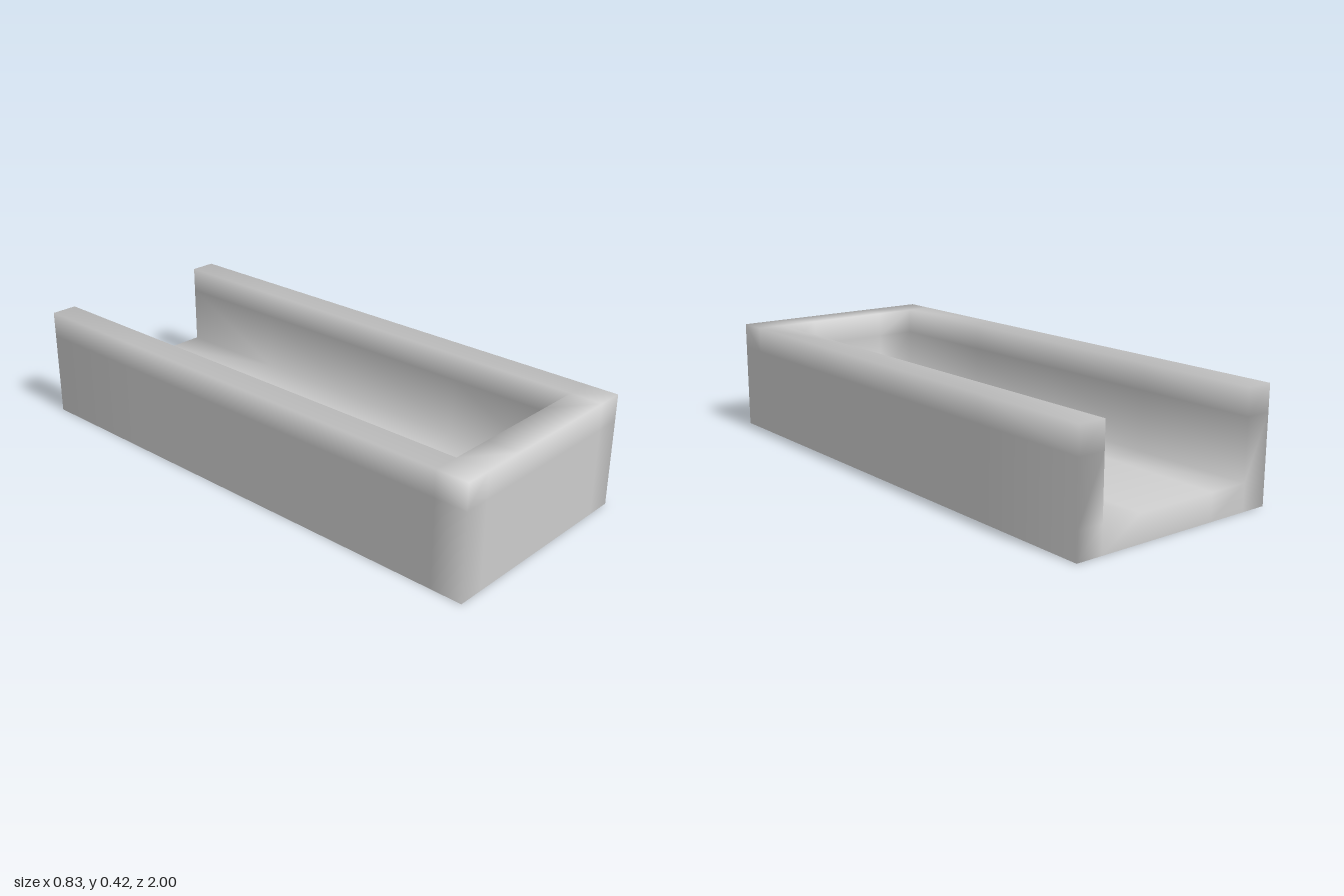
import * as THREE from 'three';
import { mergeVertices } from 'three/addons/utils/BufferGeometryUtils.js';

// Grid lines of the tray along each axis; walls occupy the outermost cells
const lines = [
  [-0.415, -0.315, -0.16, 0.16, 0.315, 0.415],
  [0, 0.1, 0.32, 0.417],
  [-1, -0.54, -0.07, 0.4, 0.88, 1],
];

// Floor, two side walls and a front wall; the back end is open
function isSolid([i, j, k]) {
  if (i < 0 || i > 4 || j < 0 || j > 2 || k < 0 || k > 4) return false;
  return j === 0 || i === 0 || i === 4 || k === 4;
}

// Skin of the solid cells, leaving the underside open
function trayGeometry() {
  const positions = [];
  const addFace = (cell, a, side) => {
    const b = (a + 1) % 3, c = (a + 2) % 3;
    const corners = [[0, 0], [1, 0], [1, 1], [0, 1]].map(([u, v]) => {
      const p = [0, 0, 0];
      p[a] = lines[a][cell[a] + side];
      p[b] = lines[b][cell[b] + u];
      p[c] = lines[c][cell[c] + v];
      return p;
    });
    if (side === 0) corners.reverse();
    for (const n of [0, 1, 2, 0, 2, 3]) positions.push(...corners[n]);
  };
  for (let i = 0; i < 5; i++) for (let j = 0; j < 3; j++) for (let k = 0; k < 5; k++) {
    const cell = [i, j, k];
    if (!isSolid(cell)) continue;
    for (let a = 0; a < 3; a++) for (const side of [0, 1]) {
      const next = [...cell];
      next[a] += side ? 1 : -1;
      const underside = a === 1 && side === 0 && j === 0;
      if (!underside && !isSolid(next)) addFace(cell, a, side);
    }
  }
  // Underside of the tray floor is the back of the floor surface; normals run smoothly over edges
  const geometry = new THREE.BufferGeometry();
  geometry.setAttribute('position', new THREE.Float32BufferAttribute(positions, 3));
  const welded = mergeVertices(geometry);
  welded.computeVertexNormals();
  return welded;
}

export function createModel() {
  const group = new THREE.Group();
  group.name = 'openTray';
  const material = new THREE.MeshStandardMaterial({ color: 0xcccccc, side: THREE.DoubleSide });
  const tray = new THREE.Mesh(trayGeometry(), material);
  tray.name = 'trayShell';
  group.add(tray);
  return group;
}
